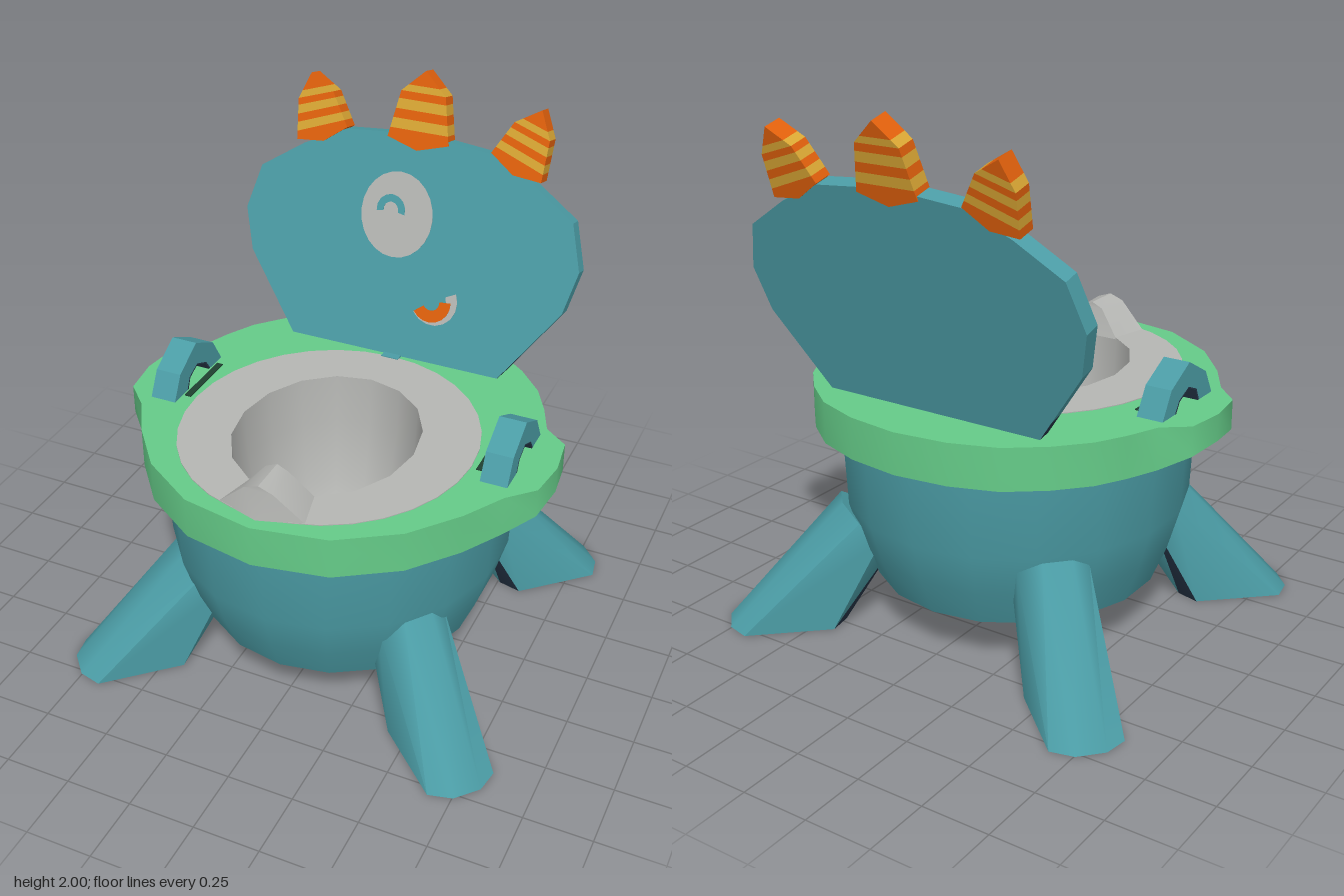
import * as THREE from 'three';
import { toCreasedNormals } from 'three/addons/utils/BufferGeometryUtils.js';

const flat = (name, color, side = THREE.FrontSide) => {
  const m = new THREE.MeshStandardMaterial({ color, side });
  m.name = name;
  return m;
};

export function createModel() {
  const teal = flat('teal', 0x4b9ca5);
  const navy = flat('navy', 0x263547);
  const green = flat('green', 0x65cb88);
  const darkGreen = flat('dark green', 0x1f4030);
  const grey = flat('pale grey', 0xb5b6b3, THREE.DoubleSide);
  const orange = flat('orange', 0xe0600c);
  const yellow = flat('yellow', 0xd9a634);

  const root = new THREE.Group();
  root.name = 'toddlerPotty';
  const add = (name, geo, mat, parent = root) => {
    const mesh = new THREE.Mesh(geo, mat);
    mesh.name = name;
    parent.add(mesh);
    return mesh;
  };
  const poly = (pts) => new THREE.Shape(pts.map(([x, y]) => new THREE.Vector2(x, y)));
  const mirrored = (half) => [...half, ...half.filter((p) => p[0] > 0).reverse().map(([x, y]) => [-x, y])];
  const oval = (cx, cy, rx, ry, n) => Array.from({ length: n }, (_, i) => {
    const a = (i / n) * Math.PI * 2;
    return [cx + rx * Math.sin(a), cy + ry * Math.cos(a)];
  });
  const extrude = (shape, depth) => new THREE.ExtrudeGeometry(shape, { depth, bevelEnabled: false });
  // horizontal slab: shape (x, z), with its top at the given height
  const slab = (shape, thick, top) => extrude(shape, thick).rotateX(Math.PI / 2).translate(0, top, 0);
  const lathe = (pts, n) => new THREE.LatheGeometry(pts.map(([x, y]) => new THREE.Vector2(x, y)), n);
  const hole = () => new THREE.Path(oval(0, 0.165, 0.335, 0.395, 16).map(([x, y]) => new THREE.Vector2(x, y)));
  // creases the geometry and gives its downward triangles the second material
  const splitUnderside = (source, crease) => {
    const geo = toCreasedNormals(source, crease);
    const p = geo.attributes.position;
    const tri = new THREE.Triangle(), n = new THREE.Vector3();
    geo.clearGroups();
    for (let i = 0; i < p.count; i += 3) {
      tri.setFromAttributeAndIndices(p, i, i + 1, i + 2).getNormal(n);
      geo.addGroup(i, 3, n.y < -0.4 ? 1 : 0);
    }
    return geo;
  };

  // tub
  const tub = lathe([[0, 0.18], [0.55, 0.18], [0.61, 0.32], [0.658, 0.48], [0.675, 0.82]], 18);
  tub.scale(0.97, 1, 1).translate(0, 0, 0.035);
  add('tub', splitUnderside(tub, 0.7), [teal, navy]);

  // rim with wider sides, whose underside slopes up outwards
  const rimShape = poly(mirrored([
    [0, 0.775], [0.27, 0.725], [0.48, 0.59], [0.62, 0.42], [0.71, 0.27], [0.8, 0.18], [0.82, 0.03],
    [0.8, -0.12], [0.71, -0.19], [0.66, -0.31], [0.6, -0.42], [0.5, -0.53], [0.37, -0.63], [0.2, -0.69], [0, -0.715],
  ]));
  rimShape.holes.push(hole());
  const rim = slab(rimShape, 0.155, 0.938);
  const rp = rim.attributes.position;
  for (let i = 0; i < rp.count; i++) {
    if (rp.getY(i) < 0.9) rp.setY(i, 0.783 + Math.max(0, Math.abs(rp.getX(i)) - 0.72) * 0.55);
  }
  add('rim', splitUnderside(rim, 0.8), [green, darkGreen]);

  // seat ring and bowl
  const ringShape = poly(oval(0, 0.145, 0.545, 0.565, 32));
  ringShape.holes.push(hole());
  add('seatRing', slab(ringShape, 0.005, 0.941), grey);
  const bowl = lathe([[1, 0.94], [0.97, 0.75], [0.86, 0.5], [0.6, 0.33], [0.3, 0.27], [0, 0.25]], 16);
  add('bowl', bowl.scale(0.335, 1, 0.395).translate(0, 0, 0.165), grey);

  // splash guard, narrower towards the bowl and pointed at its front foot
  const guard = extrude(poly(mirrored([[0, 1.058], [0.055, 1.038], [0.165, 0.935], [0, 0.935]])), 0.15);
  const gp = guard.attributes.position;
  for (let i = 0; i < gp.count; i++) {
    const front = gp.getZ(i) > 0.1, low = gp.getY(i) < 1;
    const mid = Math.abs(gp.getX(i)) < 0.01;
    if (!front) gp.setX(i, gp.getX(i) * 0.78);
    gp.setZ(i, front ? (low ? (mid ? 0.73 : 0.68) : 0.7) : (low ? 0.53 : 0.56));
  }
  add('splashGuard', toCreasedNormals(guard, 0.6), grey);

  // side handles: shapes in (z, y), with a dark lining and a dark slot beside each
  const inner = [[-0.06, 0.935], [-0.03, 0.98], [0.037, 1.01], [0.097, 0.985], [0.12, 0.935]];
  const arch = poly([[0.215, 0.935], [0.163, 1.03], [0.037, 1.1], [-0.088, 1.035], [-0.147, 0.935], ...inner]);
  const lining = poly([...inner, ...inner.map(([z, y]) => [0.03 + (z - 0.03) * 0.93, y - 0.005]).reverse()]);
  [1, -1].forEach((s) => {
    const side = s > 0 ? 'left' : 'right';
    const place = (shape) => extrude(shape, 0.1).rotateY(-Math.PI / 2).translate(0.05 + s * 0.65, 0, 0);
    add(side + 'Handle', place(arch), teal);
    add(side + 'HandleLining', place(lining), navy);
    add(side + 'HandleSlot', new THREE.BoxGeometry(0.025, 0.005, 0.25).translate(s * 0.578, 0.94, 0.03), darkGreen);
  });

  // splayed legs: tilted ring at the tub, long blunt foot on the floor
  const legNames = ['frontLeftLeg', 'frontRightLeg', 'backRightLeg', 'backLeftLeg'];
  [0.745, Math.PI - 0.745, Math.PI + 0.745, -0.745].forEach((angle, i) => {
    const leg = new THREE.CylinderGeometry(1, 1, 1, 8).rotateY(Math.PI / 8);
    const p = leg.attributes.position;
    for (let k = 0; k < p.count; k++) {
      const x = p.getX(k), z = p.getZ(k);
      if (p.getY(k) > 0) p.setXYZ(k, 0.55 + x * 0.1, 0.385 + x * 0.1, z * 0.14);
      else p.setXYZ(k, 0.86 + Math.sign(x) * Math.abs(x) ** 0.3 * 0.22, 0, z * 0.14);
    }
    leg.rotateY(-angle);
    add(legNames[i], splitUnderside(leg, 0.8), [teal, navy]);
  });

  // lid, leaning back; local y runs up its face
  const lid = new THREE.Group();
  lid.name = 'lid';
  lid.position.set(0, 0.94, -0.435);
  lid.rotation.x = -0.255;
  root.add(lid);
  const up = (y) => (y - 0.94) * 1.033;
  const onLid = (pts) => pts.map(([x, y]) => [x, up(y)]);
  const panel = (half) => extrude(poly(onLid(mirrored(half))), 0.065).translate(0, 0, -0.065);
  add('lidPanel', panel([
    [0.495, 1.03], [0.64, 1.23], [0.68, 1.39], [0.63, 1.56], [0.46, 1.67], [0.29, 1.75], [0.12, 1.765],
  ]), teal, lid);
  add('lidFoot', panel([[0.43, 0.94], [0.495, 1.03]]), [teal, navy], lid);
  add('hinge', new THREE.BoxGeometry(0.07, 0.012, 0.08).translate(0, 0.938, -0.445), teal);

  // painted eye and smile
  const band = (cx, cy, r, w, a0, a1) => {
    const at = (rad, t) => {
      const a = a0 + (a1 - a0) * t;
      return [cx + rad * Math.cos(a), cy + rad * Math.sin(a)];
    };
    const ts = Array.from({ length: 9 }, (_, i) => i / 8);
    return poly(onLid([...ts.map((t) => at(r + w, t)), ...ts.reverse().map((t) => at(r, t))]));
  };
  add('eyePatch', extrude(poly(onLid(oval(-0.05, 1.47, 0.145, 0.16, 24))), 0.002), grey, lid);
  add('closedEye', extrude(band(-0.075, 1.485, 0.03, 0.028, -0.2, Math.PI + 0.2), 0.004), teal, lid);
  add('smileShadow', extrude(band(0.14, 1.18, 0.05, 0.045, -2.5, 0.45), 0.002), grey, lid);
  add('smile', extrude(band(0.13, 1.175, 0.035, 0.045, -2.5, 0.1), 0.004), orange, lid);

  // striped crest spikes: bands spanning two three-point edges, with the bend at t = 0.6
  const along = (e, t) => {
    const [a, b, k] = t <= 0.6 ? [e[0], e[1], t / 0.6] : [e[1], e[2], (t - 0.6) / 0.4];
    return [a[0] + (b[0] - a[0]) * k, a[1] + (b[1] - a[1]) * k];
  };
  const cuts = [0, 0.12, 0.25, 0.37, 0.5, 0.6, 0.72, 1];
  const spike = (name, left, right, foot) => {
    const g = new THREE.Group();
    g.name = name;
    g.position.z = -0.069;
    lid.add(g);
    for (let i = 0; i < cuts.length - 1; i++) {
      const [a, b] = [cuts[i], cuts[i + 1]];
      const pts = [along(right, a), along(right, b)];
      if (b < 1) pts.push(along(left, b));
      pts.push(along(left, a));
      if (i === 0) pts.push(foot);
      add('spikeBand', extrude(poly(onLid(pts)), 0.073), i % 2 ? yellow : orange, g);
    }
  };
  const flip = (pts) => pts.map(([x, y]) => [-x, y]);
  const midEdge = [[0.122, 1.75], [0.088, 1.92], [0, 2.0]];
  const outer = [[0.49, 1.68], [0.5, 1.83], [0.456, 1.93]];
  const inside = [[0.288, 1.755], [0.36, 1.875], [0.456, 1.93]];
  spike('middleSpike', flip(midEdge), midEdge, [0, 1.715]);
  spike('leftSpike', inside, outer, [0.38, 1.69]);
  spike('rightSpike', flip(outer), flip(inside), [-0.38, 1.69]);

  return root;
}
